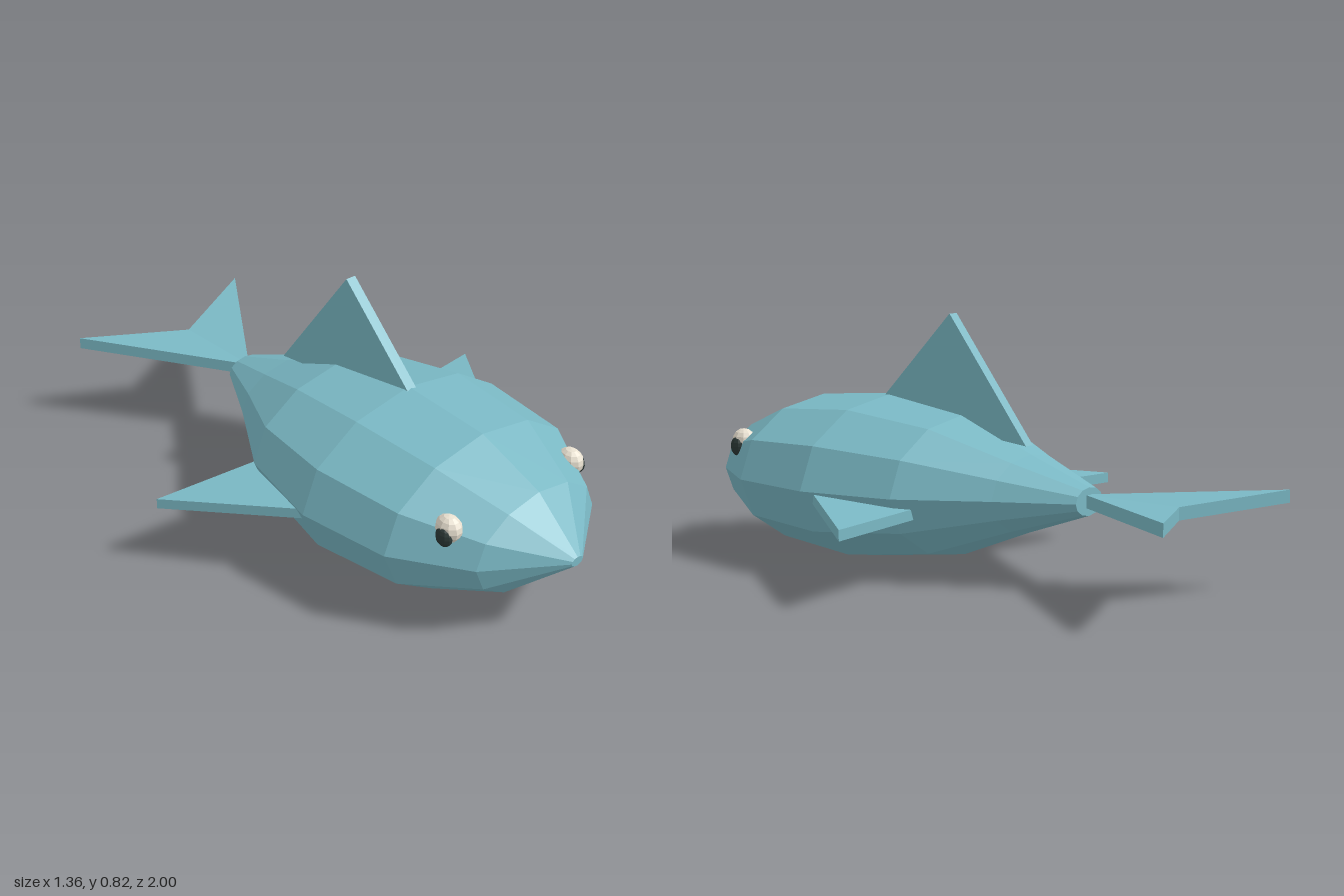
import * as THREE from 'three';

const skin = new THREE.MeshStandardMaterial({ color: 0x7ab8c4, flatShading: true });
const eyeWhite = new THREE.MeshStandardMaterial({ color: 0xe8e0d0, flatShading: true });
const pupilDark = new THREE.MeshStandardMaterial({ color: 0x2c3836, flatShading: true });

const CENTER_Y = 0.28;

function add(group, name, geometry, material) {
  const mesh = new THREE.Mesh(geometry, material);
  mesh.name = name;
  group.add(mesh);
  return mesh;
}

// Slab with the given 2D outline, centred on its thickness
function slab(points, thickness) {
  const shape = new THREE.Shape(points.map(([a, b]) => new THREE.Vector2(a, b)));
  const geo = new THREE.ExtrudeGeometry(shape, { depth: thickness, bevelEnabled: false });
  return geo.translate(0, 0, -thickness / 2);
}

// Flat fin outlined in x/z whose height follows a rule
function levelFin(points, side, thickness, height) {
  const geo = slab(points.map(([x, z]) => [x * side, -z]), thickness);
  geo.rotateX(-Math.PI / 2);
  const p = geo.attributes.position;
  for (let i = 0; i < p.count; i++) {
    p.setY(i, p.getY(i) + height(Math.abs(p.getX(i)), p.getZ(i)));
  }
  geo.computeVertexNormals();
  return geo;
}

function ellipsoid(rx, ry, rz) {
  return new THREE.SphereGeometry(1, 10, 8).scale(rx, ry, rz);
}

export function createModel() {
  const fish = new THREE.Group();
  fish.name = 'fish';

  // Twelve-sided body, flattened in height: [half width, z] from tail to nose
  const profile = [
    [0, -0.51], [0.07, -0.51], [0.196, -0.285], [0.363, -0.02], [0.435, 0.295],
    [0.397, 0.61], [0.253, 0.84], [0.024, 1], [0, 1],
  ].map(([r, z]) => new THREE.Vector2(r, z));
  const body = new THREE.LatheGeometry(profile, 12);
  body.rotateX(Math.PI / 2).scale(1, 0.632, 1).translate(0, CENTER_Y, 0);
  add(fish, 'body', body, skin);

  // Upright back fin, outlined in z/y
  const dorsal = slab([[0.36, 0.5], [0.03, 0.83], [-0.28, 0.43]], 0.036);
  dorsal.rotateY(-Math.PI / 2);
  add(fish, 'dorsalFin', dorsal, skin);

  for (const [label, side] of [['left', 1], ['right', -1]]) {
    // Side fins, pitched slightly nose up
    const pectoral = levelFin(
      [[0.37, 0.32], [0.68, -0.11], [0.25, -0.06]],
      side, 0.034, (x, z) => 0.236 + 0.08 * z);
    add(fish, label + 'PectoralFin', pectoral, skin);

    // Half of the forked tail, rising toward its tip
    const tail = levelFin(
      [[0, -0.49], [0.35, -1], [0, -0.83]],
      side, 0.04, (x) => 0.28 + 0.07 * x);
    add(fish, label + 'TailFin', tail, skin);

    // Eye and pupil, mostly sunk into the head
    const eye = new THREE.Group();
    eye.name = label + 'Eye';
    add(eye, 'eyeball', ellipsoid(0.036, 0.043, 0.046), eyeWhite)
      .position.set(side * 0.262, 0.383, 0.735);
    add(eye, 'pupil', ellipsoid(0.02, 0.033, 0.03), pupilDark)
      .position.set(side * 0.286, 0.367, 0.74);
    fish.add(eye);
  }

  return fish;
}
